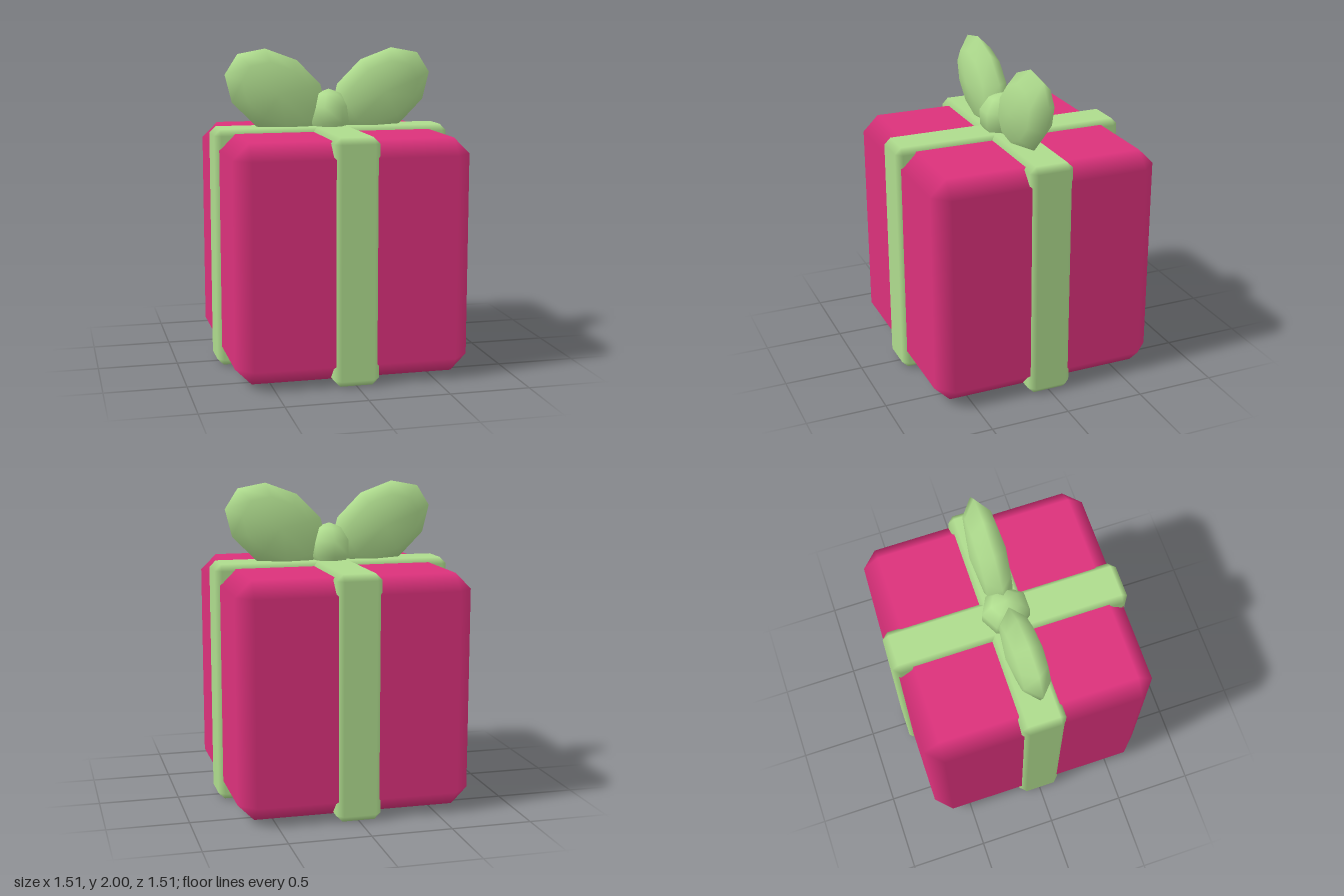
import * as THREE from 'three';

// Box centred on the origin with a one-step bevel; vertices keep the normals of the flat sides
function bevelBox(w, h, d, bevel) {
  const half = [w / 2, h / 2, d / 2];
  const pos = [], nor = [], index = [];
  const sign = (c, axis) => ((c >> axis) & 1 ? 1 : -1);
  for (let c = 0; c < 8; c++) {
    for (let a = 0; a < 3; a++) {
      for (let k = 0; k < 3; k++) {
        pos.push(sign(c, k) * (half[k] - (k === a ? 0 : bevel)));
        nor.push(k === a ? sign(c, k) : 0);
      }
    }
  }
  const id = (c, a) => c * 3 + a;
  const point = (i) => new THREE.Vector3().fromArray(pos, i * 3);
  // Triangle turned to face outward
  const tri = (i, j, k) => {
    const p = point(i);
    const n = point(j).sub(p).cross(point(k).sub(p));
    if (n.dot(p) > 0) index.push(i, j, k);
    else index.push(i, k, j);
  };
  const quad = (i, j, k, l) => { tri(i, j, k); tri(i, k, l); };
  for (let a = 0; a < 3; a++) {
    const A = 1 << a, B = 1 << ((a + 1) % 3), C = 1 << ((a + 2) % 3);
    // Two flat sides across this axis
    for (const s of [0, A]) quad(id(s, a), id(s | B, a), id(s | B | C, a), id(s | C, a));
    // Four bevel strips along this axis
    const b = (a + 1) % 3, e = (a + 2) % 3;
    for (const c of [0, B, C, B | C]) quad(id(c, b), id(c | A, b), id(c | A, e), id(c, e));
  }
  // Corner triangles
  for (let c = 0; c < 8; c++) tri(id(c, 0), id(c, 1), id(c, 2));

  const g = new THREE.BufferGeometry();
  g.setAttribute('position', new THREE.Float32BufferAttribute(pos, 3));
  g.setAttribute('normal', new THREE.Float32BufferAttribute(nor, 3));
  g.setIndex(index);
  return g;
}

export function createModel() {
  const group = new THREE.Group();
  const paper = new THREE.MeshStandardMaterial({ color: 0xdb317b });
  paper.name = 'pink paper';
  const ribbon = new THREE.MeshStandardMaterial({ color: 0xaedb8d });
  ribbon.name = 'green ribbon';

  const add = (name, geometry, material, x, y, z) => {
    const mesh = new THREE.Mesh(geometry, material);
    mesh.name = name;
    mesh.position.set(x, y, z);
    group.add(mesh);
    return mesh;
  };

  // Wrapped box
  add('giftBox', bevelBox(1.455, 1.455, 1.455, 0.1), paper, 0, 0.755, 0);

  // Two crossing ribbon bands
  add('ribbonFrontToBack', bevelBox(0.28, 1.51, 1.51, 0.04), ribbon, 0, 0.755, 0);
  add('ribbonSideToSide', bevelBox(1.51, 1.51, 0.28, 0.04), ribbon, 0, 0.755, 0);

  // Bow loops: flattened ten-sided ellipsoids tilted outward
  const loop = new THREE.SphereGeometry(1, 10, 4).rotateX(Math.PI / 2).rotateZ(Math.PI / 10);
  for (const side of [1, -1]) {
    const mesh = add(side > 0 ? 'bowLoopLeft' : 'bowLoopRight', loop, ribbon, side * 0.34, 1.72, 0);
    mesh.scale.set(0.359, 0.245, 0.115);
    mesh.rotation.z = side * 0.57;
  }

  // Knot: seven-sided ball with a corner toward the back
  const knot = new THREE.SphereGeometry(1, 7, 5).rotateY(-Math.PI / 2);
  add('bowKnot', knot, ribbon, 0, 1.586, 0).scale.set(0.142, 0.157, 0.157);

  return group;
}
